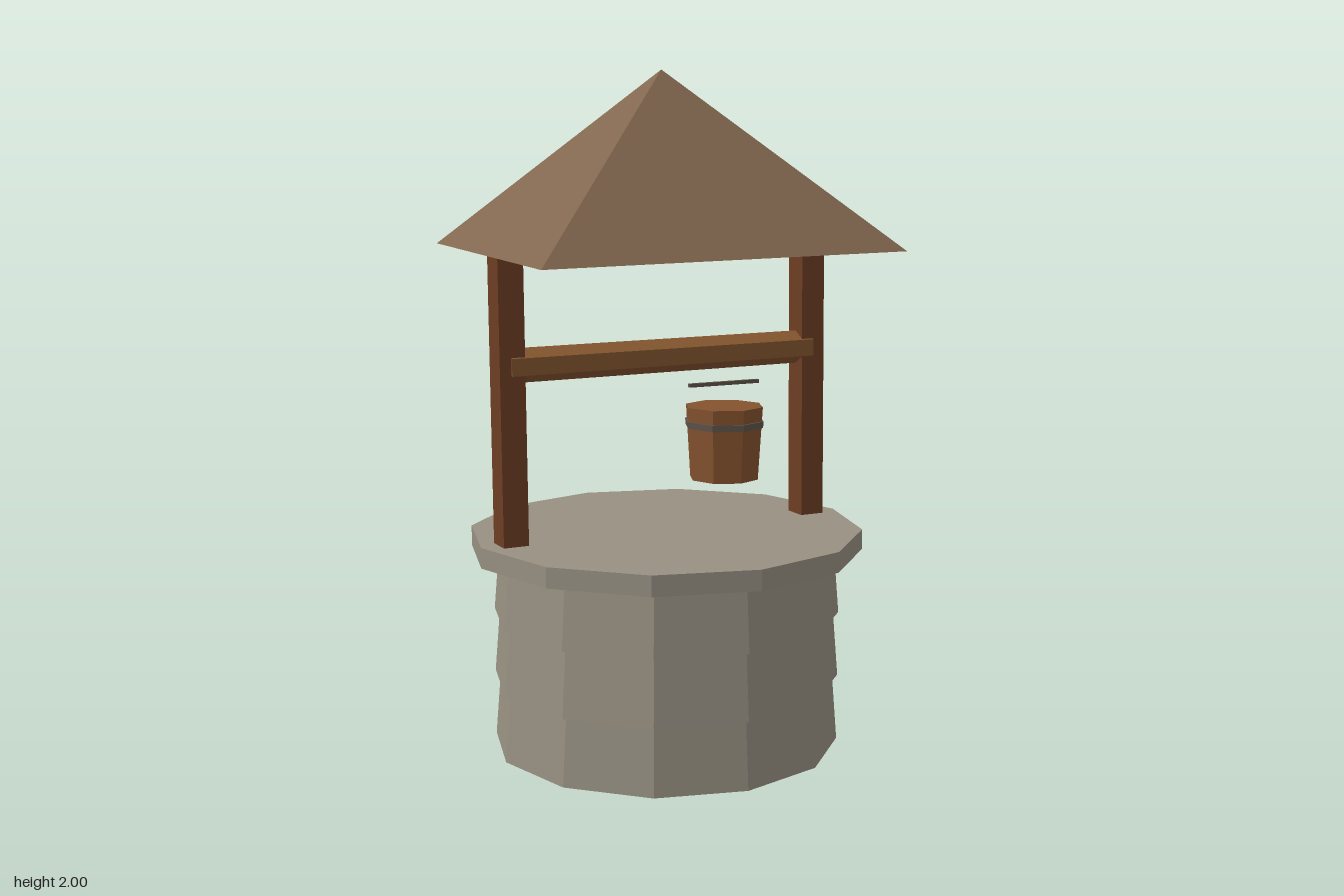
import * as THREE from 'three';

const mat = (name, color, extra = {}) => {
  const m = new THREE.MeshStandardMaterial({ color, ...extra });
  m.name = name;
  return m;
};

// Faceted normals for the low-poly look
function faceted(geometry) {
  const g = geometry.index ? geometry.toNonIndexed() : geometry;
  g.computeVertexNormals();
  return g;
}

export function createModel() {
  const stone = mat('stone', 0x979082, { side: THREE.DoubleSide });
  const roofWood = mat('roofWood', 0x82674f);
  const postWood = mat('postWood', 0x6e3f24);
  const beamWood = mat('beamWood', 0x875730);
  const bucketWood = mat('bucketWood', 0x85532f);
  const iron = mat('iron', 0x5f564c);

  const model = new THREE.Group();
  model.name = 'well';
  const add = (name, geometry, material, x = 0, y = 0, z = 0, parent = model) => {
    const mesh = new THREE.Mesh(faceted(geometry), material);
    mesh.name = name;
    mesh.position.set(x, y, z);
    parent.add(mesh);
    return mesh;
  };

  // Stone wall: three tapered courses, each overhanging the one below, open underneath
  const levels = [0, 0.2, 0.395, 0.59];
  const profile = [];
  for (let i = 0; i < 3; i++) {
    profile.push(new THREE.Vector2(0.523, levels[i]), new THREE.Vector2(0.507, levels[i + 1]));
  }
  add('stoneWall', new THREE.LatheGeometry(profile, 12), stone, 0.013, 0, 0.004).scale.z = 0.98;

  // Stone lid
  add('stoneLid', new THREE.CylinderGeometry(0.591, 0.591, 0.06, 12), stone, 0.014, 0.62, 0.003).scale.z = 0.975;

  // Two slightly leaning posts
  for (const [name, xBottom, xTop] of [['rightPost', -0.482, -0.49], ['leftPost', 0.506, 0.497]]) {
    const g = new THREE.BoxGeometry(0.077, 0.87, 0.078);
    const p = g.attributes.position;
    for (let i = 0; i < p.count; i++) {
      p.setX(i, p.getX(i) + (p.getY(i) > 0 ? xTop : xBottom));
    }
    add(name, g, postWood, 0, 1.06, 0);
  }

  // Six-sided crossbeam
  const beam = new THREE.CylinderGeometry(0.05, 0.05, 0.99, 6);
  beam.rotateZ(Math.PI / 2);
  // turn so that one flat faces the front
  const p = beam.attributes.position;
  let top = 0;
  for (let i = 0; i < p.count; i++) top = Math.max(top, p.getY(i));
  if (top < 0.049) beam.rotateX(Math.PI / 6);
  add('crossbeam', beam, beamWood, 0.005, 1.17, 0).rotation.z = 0.006;

  // Bucket with hoop and handle
  const bucket = new THREE.Group();
  bucket.name = 'bucket';
  bucket.position.set(0.212, 0, 0.002);
  model.add(bucket);
  add('bucketBody', new THREE.CylinderGeometry(0.121, 0.107, 0.222, 8), bucketWood, 0, 0.896, 0, bucket);
  add('bucketHoop', new THREE.CylinderGeometry(0.124, 0.122, 0.02, 8), iron, 0, 0.954, 0, bucket);
  add('bucketHandle', new THREE.BoxGeometry(0.236, 0.011, 0.014), iron, -0.002, 1.075, 0, bucket);

  // Skewed four-sided roof with a closed underside
  const corners = [
    [-0.645, 1.485, 0.632], [0.52, 1.491, 0.5],
    [0.645, 1.494, -0.637], [-0.51, 1.488, -0.515],
  ];
  const roof = new THREE.BufferGeometry();
  roof.setAttribute('position', new THREE.Float32BufferAttribute([...corners.flat(), 0, 2, 0], 3));
  const faces = [0, 2, 1, 0, 3, 2];
  for (let i = 0; i < 4; i++) faces.push(i, (i + 1) % 4, 4);
  roof.setIndex(faces);
  add('roof', roof, roofWood);

  return model;
}
